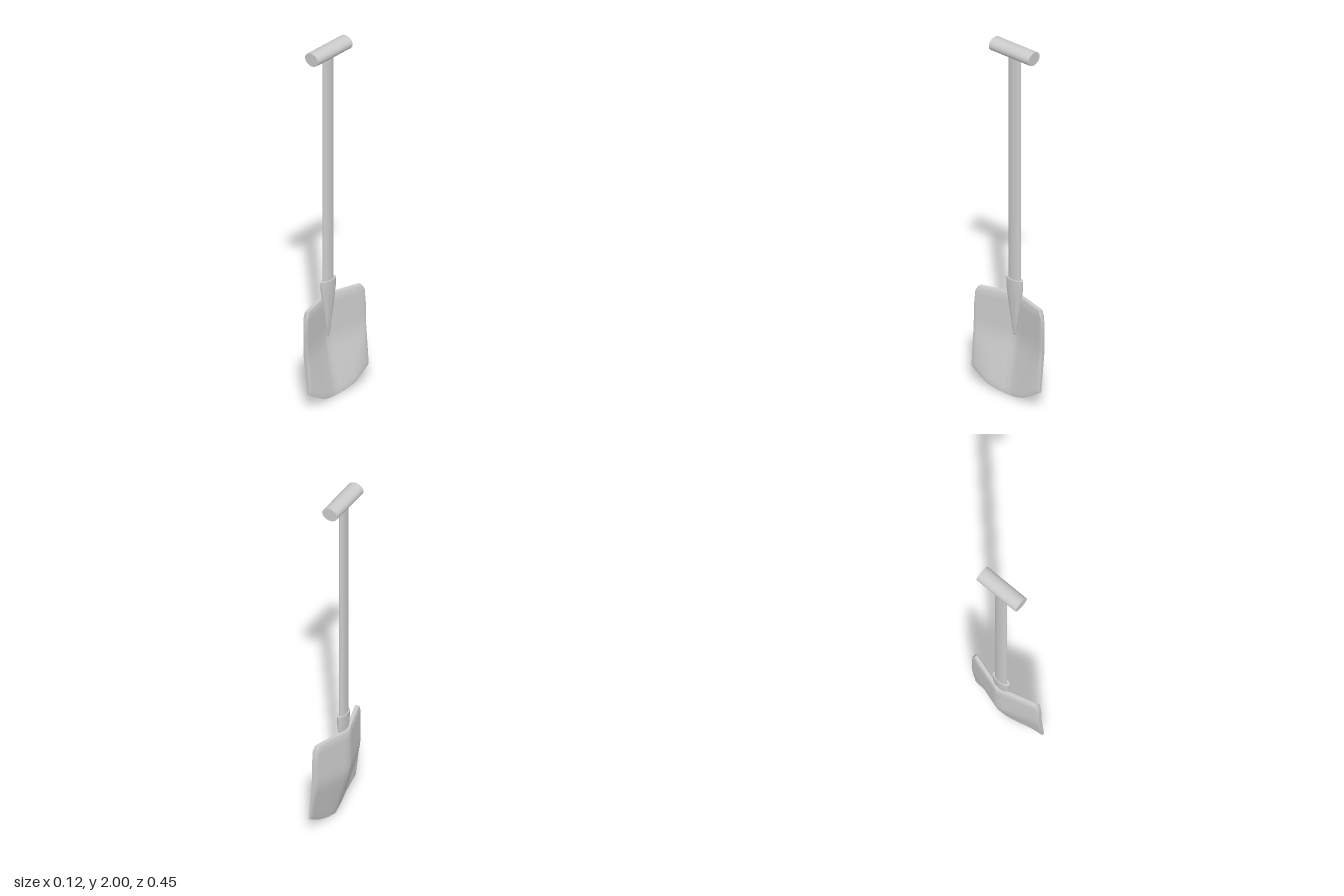
import * as THREE from 'three';
import { mergeVertices, toCreasedNormals } from 'three/addons/utils/BufferGeometryUtils.js';

const { lerp, clamp } = THREE.MathUtils;
const material = new THREE.MeshStandardMaterial({ color: 0xcccccc });

// Piecewise linear lookup through [input, output] points
function sample(points, t) {
  for (let i = 1; i < points.length; i++) {
    const [a, va] = points[i - 1], [b, vb] = points[i];
    if (t <= b) return lerp(va, vb, clamp((t - a) / (b - a), 0, 1));
  }
  return points[points.length - 1][1];
}

function addMesh(group, name, geometry) {
  const mesh = new THREE.Mesh(geometry, material);
  mesh.name = name;
  group.add(mesh);
  return mesh;
}

// Dished blade: a segmented box whose grid follows the outline and the curve
function bladeGeometry() {
  const half = [0, 0.03, 0.06, 0.09, 0.12, 0.16, 0.2, 0.214, 0.224];
  const rows = [0, 0.02, 0.06, 0.15, 0.25, 0.35, 0.45, 0.52, 0.58, 0.65, 0.78, 0.9, 0.98, 1];
  const bottom = [[0, 0.005], [0.06, 0.014], [0.12, 0.035], [0.2, 0.085], [0.224, 0.1]];
  const top = [[0, 0.555], [0.2, 0.555], [0.214, 0.53], [0.224, 0.44]];
  const columns = half.length - 1, last = rows.length - 1;
  const geometry = new THREE.BoxGeometry(1, last, columns * 2, 1, last, columns * 2);
  geometry.deleteAttribute('uv');
  geometry.deleteAttribute('normal');
  const p = geometry.attributes.position;
  for (let i = 0; i < p.count; i++) {
    const c = Math.round(p.getZ(i)), r = Math.round(p.getY(i) + last / 2);
    const d = half[Math.abs(c)];
    const y = lerp(sample(bottom, d), sample(top, d), rows[r]);
    // Front face: the middle runs forward to the tip while the sides flatten
    const middle = sample([[0.005, 0.037], [0.28, -0.026], [0.33, -0.03]], y);
    const side = sample([[0.04, 0.058], [0.35, 0.036]], y);
    const reach = sample([[0.035, 0.13], [0.3, 0.224]], y);
    const front = lerp(middle, side, Math.min(d / reach, 1));
    const thick = sample([[0.005, 0.012], [0.3, 0.028]], y);
    // Soften the rim
    const rim = Math.abs(c) === columns || r === 0 || r === last ? 0.16 * thick : 0;
    p.setXYZ(i, p.getX(i) > 0 ? front - rim : front - thick + rim, y, Math.sign(c) * d);
  }
  return toCreasedNormals(mergeVertices(geometry), 0.7);
}

export function createModel() {
  const group = new THREE.Group();

  addMesh(group, 'blade', bladeGeometry());

  // Flattened socket, tapering to a rounded tongue on the blade
  const profile = [[0, 0.325], [0.006, 0.328], [0.011, 0.338], [0.022, 0.41], [0.036, 0.49],
    [0.046, 0.56], [0.052, 0.6], [0.053, 0.65], [0.053, 0.65], [0, 0.65]]
    .map(([x, y]) => new THREE.Vector2(x, y));
  const socket = addMesh(group, 'socket',
    toCreasedNormals(new THREE.LatheGeometry(profile.filter((v, i) => i !== 8), 32), 0.7));
  socket.scale.x = 0.4;
  socket.position.x = -0.021;

  // Oval shaft
  const shaft = addMesh(group, 'shaft', new THREE.CylinderGeometry(0.038, 0.038, 1.37, 32));
  shaft.scale.x = 0.42;
  shaft.position.set(-0.022, 1.275, 0);

  // Oval cross grip
  const grip = new THREE.CylinderGeometry(1, 1, 0.26, 32);
  grip.rotateX(Math.PI / 2);
  grip.scale(0.044, 0.036, 1);
  addMesh(group, 'grip', grip).position.set(-0.017, 1.964, 0);

  return group;
}
